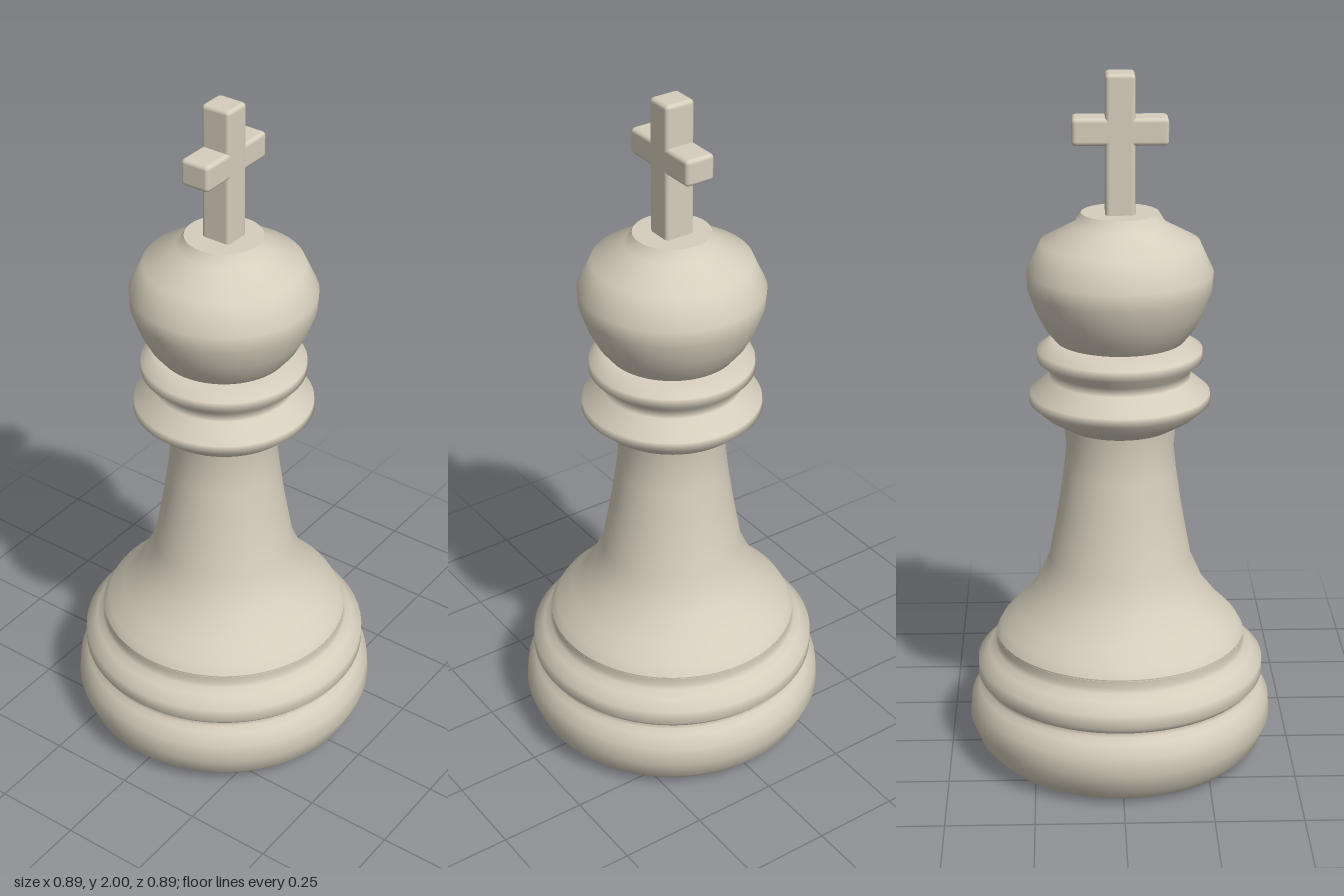
import * as THREE from 'three';
import { RoundedBoxGeometry } from 'three/addons/geometries/RoundedBoxGeometry.js';

export function createModel() {
  const group = new THREE.Group();
  const ivory = new THREE.MeshStandardMaterial({ color: 0xd6cebd });
  ivory.name = 'ivory';

  const add = (name, geometry, y = 0) => {
    const mesh = new THREE.Mesh(geometry, ivory);
    mesh.name = name;
    mesh.position.y = y;
    group.add(mesh);
  };
  // Turned part from [radius, height] pairs, bottom to top
  const turn = (name, profile) =>
    add(name, new THREE.LatheGeometry(profile.map(([r, y]) => new THREE.Vector2(r, y)), 64));

  // Wide rounded foot with a flat underside
  turn('foot', [
    [0, 0], [0.36, 0], [0.385, 0.012], [0.42, 0.05], [0.443, 0.11],
    [0.438, 0.165], [0.415, 0.2], [0.4, 0.212], [0.4, 0.225],
  ]);
  // Ring and step above the foot
  turn('footRing', [
    [0.4, 0.225], [0.418, 0.245], [0.417, 0.285], [0.385, 0.312],
    [0.366, 0.33], [0.36, 0.345], [0.362, 0.37],
  ]);
  // Flared stem
  turn('stem', [
    [0.362, 0.365], [0.345, 0.395], [0.3, 0.44], [0.245, 0.51], [0.205, 0.6],
    [0.176, 0.76], [0.16, 0.87], [0.153, 0.94], [0.16, 1.005],
  ]);
  // Double collar
  turn('collar', [
    [0.16, 1.005], [0.215, 1.038], [0.256, 1.075], [0.254, 1.1], [0.2, 1.145],
    [0.197, 1.168], [0.233, 1.198], [0.232, 1.226], [0.185, 1.255], [0, 1.255],
  ]);
  // Bulbous head with a small flat crown
  turn('head', [
    [0.18, 1.252], [0.21, 1.29], [0.236, 1.34], [0.257, 1.4], [0.26, 1.45],
    [0.222, 1.532], [0.128, 1.583], [0.108, 1.615],
  ]);
  turn('crown', [[0.108, 1.615], [0, 1.615]]);

  // Cross finial
  add('crossUpright', new RoundedBoxGeometry(0.082, 0.4, 0.09, 2, 0.012), 1.8);
  add('crossBar', new RoundedBoxGeometry(0.264, 0.076, 0.089, 2, 0.012), 1.843);

  return group;
}
